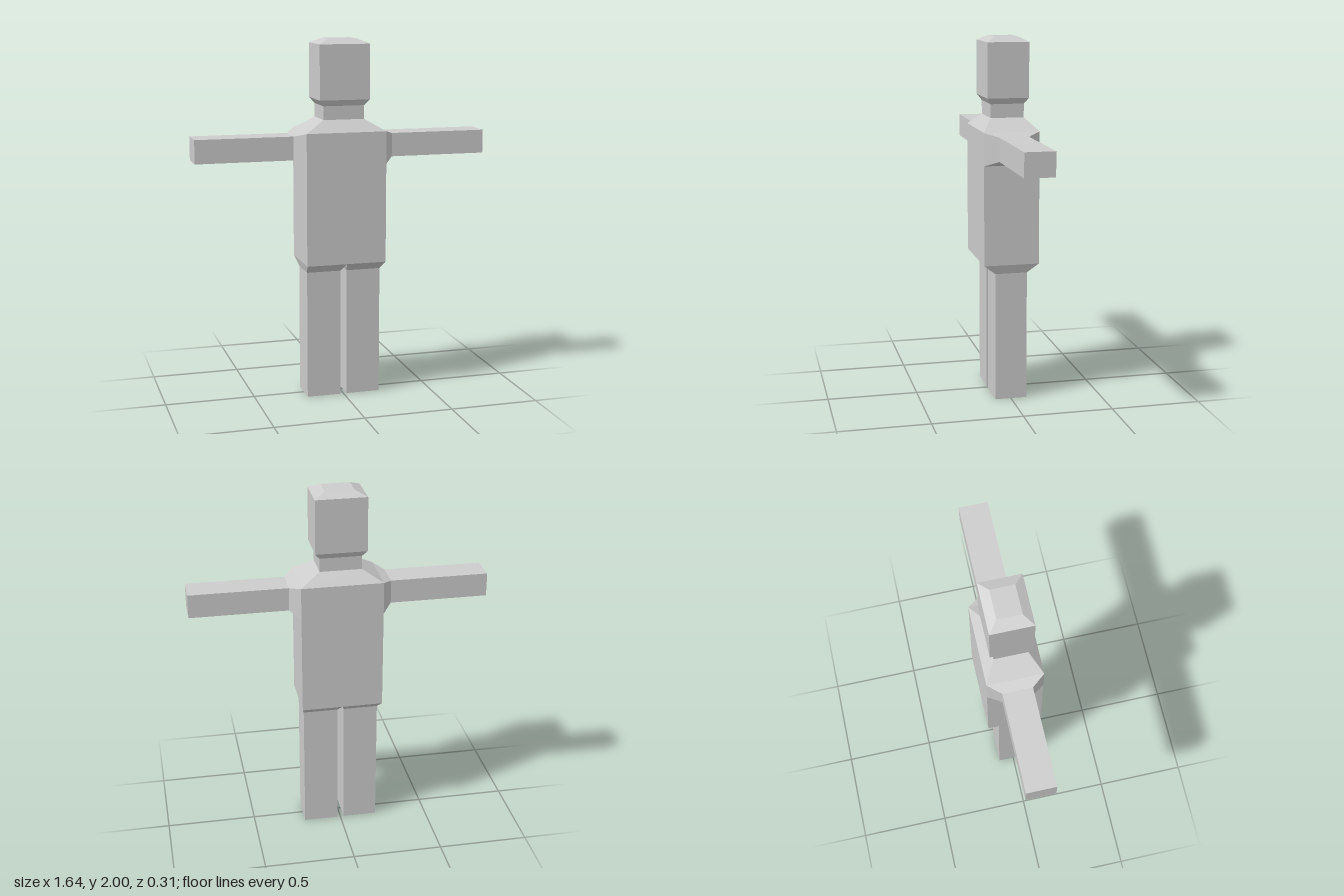
import * as THREE from 'three';

// Lofts rectangles stacked along y; each section is [y, x0, x1, z0, z1]
function loft(sections, capBottom, capTop) {
  const rings = sections.map(([y, x0, x1, z0, z1]) => [
    [x0, y, z1], [x1, y, z1], [x1, y, z0], [x0, y, z0],
  ]);
  const pos = [];
  const quad = (a, b, c, d) => pos.push(...a, ...b, ...c, ...a, ...c, ...d);
  for (let i = 0; i < rings.length - 1; i++) {
    const lo = rings[i], hi = rings[i + 1];
    for (let k = 0; k < 4; k++) {
      const n = (k + 1) % 4;
      quad(lo[k], lo[n], hi[n], hi[k]);
    }
  }
  if (capBottom) quad(...[...rings[0]].reverse());
  if (capTop) quad(...rings[rings.length - 1]);
  const geo = new THREE.BufferGeometry();
  geo.setAttribute('position', new THREE.Float32BufferAttribute(pos, 3));
  geo.computeVertexNormals();
  return geo;
}

// Section centred on the vertical axis
const centred = (y, hx, hz) => [y, -hx, hx, -hz, hz];

export function createModel() {
  const group = new THREE.Group();
  const grey = new THREE.MeshStandardMaterial({ color: 0xcccccc });
  grey.name = 'plain grey';

  const add = (name, geo) => {
    const mesh = new THREE.Mesh(geo, grey);
    mesh.name = name;
    group.add(mesh);
    return mesh;
  };

  // Torso with sloping shoulders
  add('torso', loft([
    centred(0.77, 0.225, 0.153),
    centred(1.5, 0.225, 0.153),
    centred(1.565, 0.115, 0.092),
  ], false, false));

  // Neck
  add('neck', loft([centred(1.565, 0.115, 0.092), centred(1.64, 0.115, 0.092)], false, false));

  // Head with bevelled jaw and crown
  add('head', loft([
    centred(1.64, 0.115, 0.092),
    centred(1.673, 0.141, 0.115),
    centred(1.973, 0.141, 0.115),
    centred(2, 0.08, 0.065),
  ], true, true));

  // Arms, lofted upright and then laid outwards; a half turn makes the other side
  const arm = loft([
    [0.225, -1.5, -1.32, -0.153, 0.153],
    [0.28, -1.48, -1.35, -0.081, 0.081],
    [0.82, -1.48, -1.35, -0.081, 0.081],
  ], false, true).rotateZ(-Math.PI / 2);
  add('leftArm', arm);
  add('rightArm', arm).rotation.y = Math.PI;

  // Legs, widening into the hips; the inner edges meet at the middle
  const leg = loft([
    [0, 0.018, 0.21, -0.089, 0.089],
    [0.72, 0.018, 0.21, -0.089, 0.089],
    [0.77, 0, 0.225, -0.153, 0.153],
  ], true, false);
  add('leftLeg', leg);
  add('rightLeg', leg).rotation.y = Math.PI;

  return group;
}
